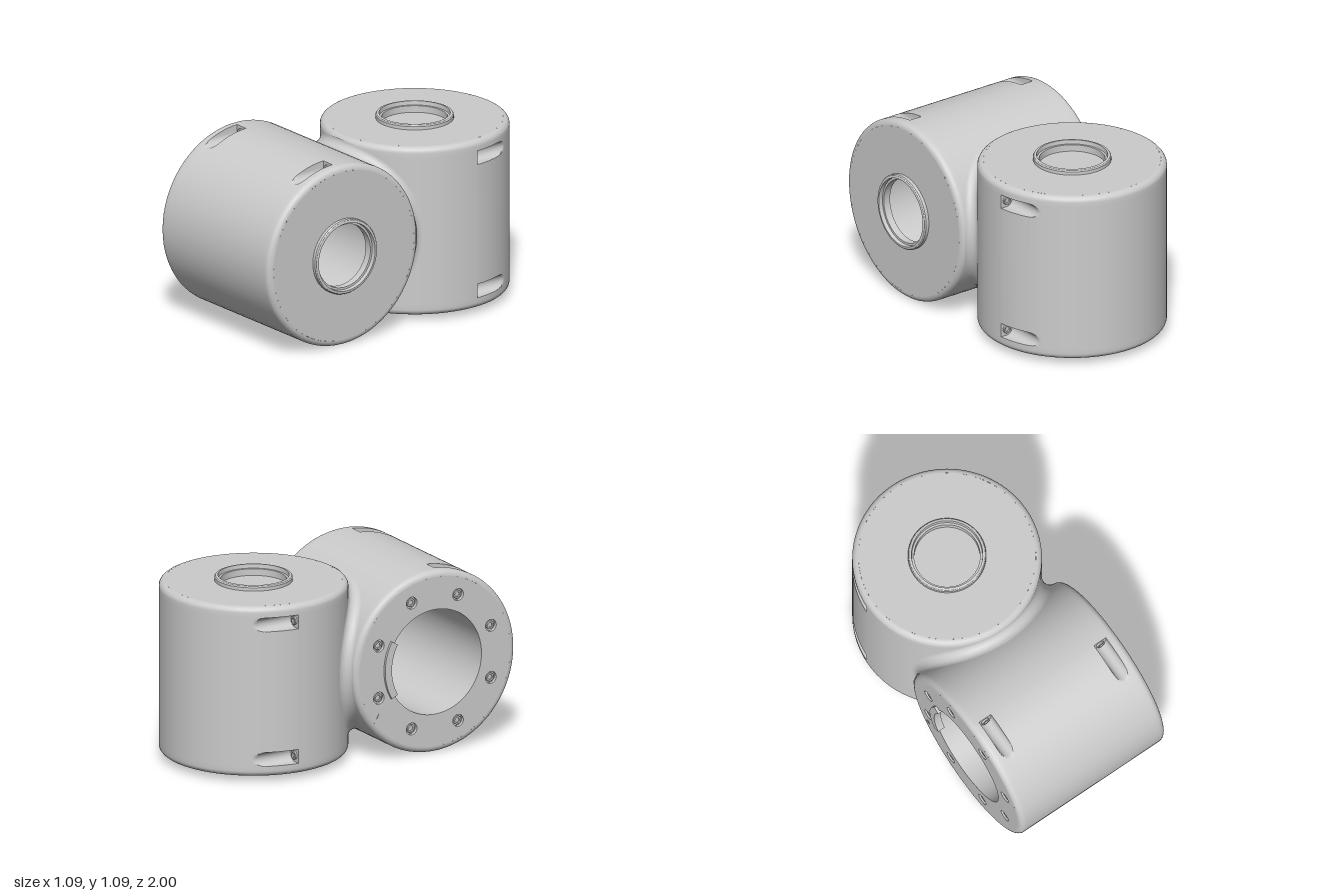
import * as THREE from 'three';
import { toCreasedNormals } from 'three/addons/utils/BufferGeometryUtils.js';

const R = 0.545, HALF = 0.51, EDGE = 0.035, OFF = 0.455;   // drum radius, half length, edge rounding, axis offset
const BORE = 0.315, SLOT = 0.042, SLOT_U = 0.405, SLOT_X = 0.505, SLOT_Z = -0.035;
const grey = new THREE.MeshStandardMaterial({ color: 0xcccccc });
const greyDouble = new THREE.MeshStandardMaterial({ color: 0xcccccc, side: THREE.DoubleSide });

function mesh(name, geometry, material = grey) {
  const m = new THREE.Mesh(geometry, material);
  m.name = name;
  return m;
}

function lathe(points, segments = 64) {
  const g = new THREE.LatheGeometry(points.map(p => new THREE.Vector2(...p)), segments);
  return toCreasedNormals(g, 0.5);
}

// Surface from a grid of points: point(i, j) for rows i and columns j
function gridSurface(rows, cols, point, crease) {
  const pos = [], index = [];
  for (let i = 0; i < rows; i++) {
    for (let j = 0; j < cols; j++) {
      pos.push(...point(i, j));
      if (i < rows - 1 && j < cols - 1) {
        const a = i * cols + j, b = a + cols;
        index.push(a, b, a + 1, b + 1, a + 1, b);
      }
    }
  }
  const g = new THREE.BufferGeometry();
  g.setAttribute('position', new THREE.Float32BufferAttribute(pos, 3));
  g.setIndex(index);
  return toCreasedNormals(g, crease);
}

// Flat shape laid in the xz plane, extruded downwards from y
function plate(shape, y, depth) {
  const g = new THREE.ExtrudeGeometry(shape, { depth, bevelEnabled: false, curveSegments: 48 });
  return g.rotateX(Math.PI / 2).translate(0, y, 0);
}

// Drum wall with rounded ends and four round-bottomed screw slots
function drumWall() {
  const cols = [], rows = [];
  const rim = (s, k) => {
    const t = k / 6 * Math.PI / 2;
    cols.push({ u: s * (HALF - EDGE + EDGE * Math.sin(t)), r: R - EDGE + EDGE * Math.cos(t) });
  };
  for (let k = 6; k >= 0; k--) rim(-1, k);
  for (const s of [-1, 1]) {
    cols.push({ u: s * SLOT_U - SLOT, r: R });
    for (let k = -8; k <= 8; k++) {
      const d = SLOT * Math.sin(k / 8 * Math.PI / 2);
      cols.push({ u: s * SLOT_U + d, r: R, floor: SLOT_X - Math.sqrt(Math.max(0, SLOT * SLOT - d * d)) });
    }
    cols.push({ u: s * SLOT_U + SLOT, r: R });
  }
  for (let k = 0; k <= 6; k++) rim(1, k);

  const p0 = Math.acos(SLOT_Z / R), p1 = 2.18, full = Math.PI * 2;
  const span = (a, b, n, cut) => {
    for (let i = 0; i <= n; i++) rows.push({ t: a + (b - a) * i / n, cut });
  };
  span(0, p0, 18, false);
  span(p0, p1, 24, true);
  span(p1, full - p1, 22, true);
  span(full - p1, full - p0, 24, true);
  span(full - p0, full, 18, false);

  return gridSurface(rows.length, cols.length, (i, j) => {
    const { t, cut } = rows[i], { u, r, floor } = cols[j];
    let x = r * Math.sin(t);
    if (cut && floor) x = Math.sign(x) * Math.min(Math.abs(x), floor);
    return [x, u, r * Math.cos(t)];
  }, 0.5);
}

// Socket screw head facing +y
const screwGeometry = lathe([[0.026, 0], [0.026, 0.01], [0.024, 0.012], [0.015, 0.012], [0.015, 0.003], [0, 0.003]], 20);

// One joint drum, axis along y, raised collar at +y and bolted flange at -y
function drum(name, withShaft) {
  const g = new THREE.Group();
  g.name = name;
  g.add(mesh('drumWall', drumWall()));

  // Collar end and inner bore
  g.add(mesh('collarAndBore', lathe([
    [HALF, HALF], [0.225, HALF], [0.225, 0.53], [0.22, 0.537], [0.212, 0.54], [0.205, 0.54],
    [0.203, 0.515], [0.19, 0.515], [0.19, 0.47], [BORE, 0.47], [BORE, -0.5],
  ])));

  // Flange with bolt holes
  const flange = new THREE.Shape().absarc(0, 0, R - EDGE, 0, Math.PI * 2);
  flange.holes.push(new THREE.Path().absarc(0, 0, BORE, 0, Math.PI * 2, true));
  const seats = [];
  for (let k = 0; k < 8; k++) {
    const a = (k + 0.5) * Math.PI / 4;
    seats.push([0.41 * Math.cos(a), 0.41 * Math.sin(a)]);
    flange.holes.push(new THREE.Path().absarc(...seats[k], 0.036, 0, Math.PI * 2, true));
  }
  g.add(mesh('flange', plate(flange, -0.49, 0.02)));
  g.add(mesh('boltSeat', lathe([[BORE, -0.49], [0.5, -0.49]])));
  for (const [x, z] of seats) {
    const bolt = mesh('flangeBolt', screwGeometry);
    bolt.position.set(x, -0.49, z);
    bolt.rotation.x = Math.PI;
    g.add(bolt);
  }

  // Curved locating key at the bore edge
  const key = new THREE.Shape();
  key.absarc(0, 0, 0.345, Math.PI / 3, Math.PI * 2 / 3, false);
  key.absarc(0, 0, 0.3, Math.PI * 2 / 3, Math.PI / 3, true);
  key.closePath();
  g.add(mesh('locatingKey', plate(key, -0.48, 0.045)));

  // Small triangular index mark
  const mark = mesh('indexMark', new THREE.CylinderGeometry(0.018, 0.018, 0.006, 3));
  mark.position.set(-0.27, -HALF, 0.38);
  mark.rotation.y = -0.6;
  g.add(mark);

  // Screws in the four wall slots
  for (const sx of [-1, 1]) for (const sy of [-1, 1]) {
    const screw = mesh('slotScrew', screwGeometry);
    screw.position.set(sx * SLOT_X, sy * SLOT_U, SLOT_Z);
    screw.rotation.x = -Math.PI / 2;
    g.add(screw);
  }

  // Output shaft closing the bore
  if (withShaft) {
    g.add(mesh('shaftFace', lathe([[0, -0.515], [0.245, -0.515], [0.245, -0.46], [BORE, -0.46]])));
    g.add(mesh('shaftCap', lathe([[0.2, 0.475], [0, 0.475]])));
  }
  return g;
}

// Concave fillet traced by a ball rolling along the crossing of the two drums
function blend() {
  const r = 0.045, S = R + r, zm = S - OFF;
  return gridSurface(121, 11, (i, j) => {
    const t = i / 120 * Math.PI * 2, z = zm * Math.cos(2 * t);
    const c = new THREE.Vector3(
      Math.sin(t) * Math.sqrt(2 * zm * (S + OFF + z)),
      Math.cos(t) * Math.sqrt(2 * zm * (S + OFF - z)), z);
    const toUpright = new THREE.Vector3(-c.x, 0, -z - OFF);
    const toCross = new THREE.Vector3(0, -c.y, OFF - z);
    const dir = toUpright.lerp(toCross, j / 10).normalize();
    return c.addScaledVector(dir, r).toArray();
  }, 1);
}

export function createModel() {
  const model = new THREE.Group();
  model.name = 'twinDrumJoint';

  const upright = drum('uprightDrum', true);
  upright.position.set(0, R, -OFF);

  const cross = drum('crossDrum', false);
  cross.quaternion.setFromRotationMatrix(new THREE.Matrix4().makeBasis(
    new THREE.Vector3(0, 1, 0), new THREE.Vector3(1, 0, 0), new THREE.Vector3(0, 0, -1)));
  cross.position.set(0, R, OFF);

  const fillet = mesh('blendFillet', blend(), greyDouble);
  fillet.position.y = R;

  model.add(upright, cross, fillet);
  return model;
}
